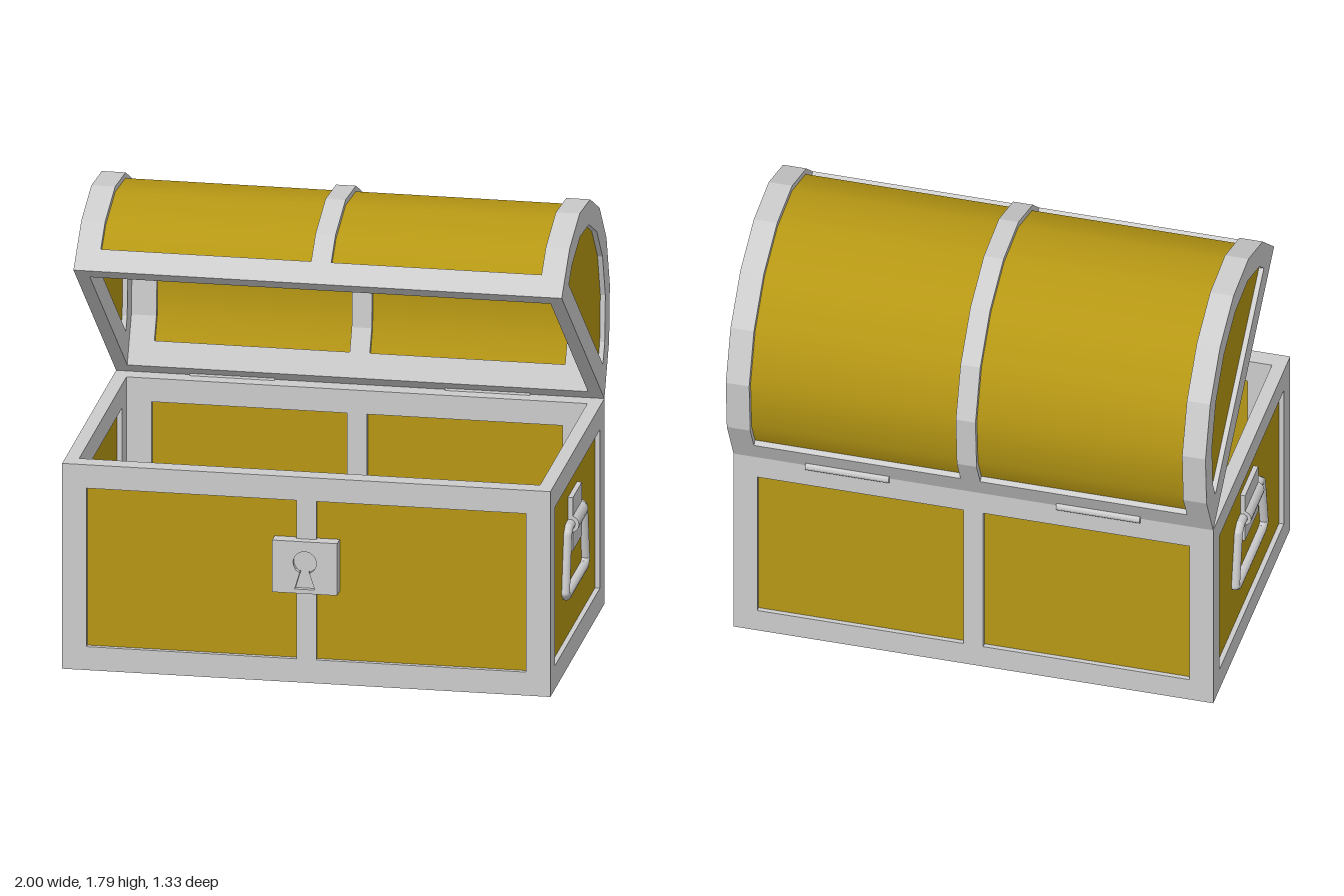
import * as THREE from 'three';

const metal = new THREE.MeshStandardMaterial({ color: 0xcccccc, flatShading: true });
const wood = new THREE.MeshStandardMaterial({ color: 0xb69714 });
const woodInside = new THREE.MeshStandardMaterial({ color: 0xb69714, side: THREE.BackSide });

const W = 1.95, H = 0.85, D = 1.175, ZC = 0.0425; // chest body
const R = D / 2;                                  // lid radius
const RECESS = 0.02, RAIL = 0.097, POST = 0.04;

function add(parent, name, geometry, material, x = 0, y = 0, z = 0) {
  const mesh = new THREE.Mesh(geometry, material);
  mesh.name = name;
  mesh.position.set(x, y, z);
  parent.add(mesh);
  return mesh;
}

const polygon = (pts) => pts.map(([x, y]) => new THREE.Vector2(x, y));
const rect = (x0, x1, y0, y1) => polygon([[x0, y0], [x1, y0], [x1, y1], [x0, y1]]);

function slab(outline, holes, depth) {
  const shape = new THREE.Shape(outline);
  holes.forEach((h) => shape.holes.push(new THREE.Path(h)));
  return new THREE.ExtrudeGeometry(shape, { depth, bevelEnabled: false });
}

// Rectangular wall facing +z: frames on both faces with a recessed panel between
function wall(name, w, h, t, split, inX, inBottom, inTop) {
  const g = new THREE.Group();
  g.name = name;
  const outline = rect(-w / 2, w / 2, -h / 2, h / 2);
  const openings = (mx, mb, mt) => {
    const x = w / 2 - mx, y0 = -h / 2 + mb, y1 = h / 2 - mt;
    return split ? [rect(-x, -POST, y0, y1), rect(POST, x, y0, y1)] : [rect(-x, x, y0, y1)];
  };
  add(g, 'outerFrame', slab(outline, openings(RAIL, RAIL, RAIL), t - RECESS), metal, 0, 0, -t / 2 + RECESS);
  add(g, 'innerFrame', slab(outline, openings(inX, inBottom, inTop), RECESS), metal, 0, 0, -t / 2);
  add(g, 'panel', new THREE.BoxGeometry(w - 0.06, h - 0.06, t - 2 * RECESS), wood);
  return g;
}

function buildBody() {
  const body = new THREE.Group();
  body.name = 'chestBody';
  for (const s of [1, -1]) {
    const long = wall(s > 0 ? 'frontWall' : 'backWall', W, H, 0.073, true, 0.155, 0.16, RAIL);
    long.position.set(0, H / 2, ZC + s * (D / 2 - 0.0365));
    long.rotation.y = s > 0 ? 0 : Math.PI;
    const end = wall(s > 0 ? 'leftWall' : 'rightWall', D, H, 0.055, false, 0.17, 0.16, RAIL);
    end.position.set(s * (W / 2 - 0.0275), H / 2, ZC);
    end.rotation.y = s * Math.PI / 2;
    body.add(long, end);
  }
  const floor = wall('floor', W, D, 0.06, true, 0.155, 0.17, 0.17);
  floor.position.set(0, 0.03, ZC);
  floor.rotation.x = Math.PI / 2;
  body.add(floor);
  return body;
}

// Eight-sided half circle, its feet cut off level at the given height
function arc(r, cut = 0) {
  const pts = [];
  for (let i = 0; i <= 8; i++) pts.push([r * Math.cos(i * Math.PI / 8), r * Math.sin(i * Math.PI / 8)]);
  const foot = pts[0][0] + (pts[1][0] - pts[0][0]) * cut / pts[1][1];
  pts[0] = [foot, cut];
  pts[8] = [-foot, cut];
  return pts;
}
const arch = (outer, inner) => polygon([...arc(outer), ...arc(inner).reverse()]);

// Profile in the z-y plane, extruded from x0 to x1
function acrossX(outline, holes, x0, x1) {
  return slab(outline, holes, x1 - x0).rotateY(-Math.PI / 2).translate(x1, 0, 0);
}

function buildLid() {
  const lid = new THREE.Group(), dome = new THREE.Group();
  lid.name = 'lid';
  dome.name = 'lidDome';
  dome.position.z = R;
  lid.add(dome);

  // Curved boards, outside and inside
  const shell = (r) => new THREE.CylinderGeometry(r, r, 1.84, 8, 1, true, 0, Math.PI).rotateZ(Math.PI / 2);
  add(dome, 'domePanel', shell(0.565), wood);
  add(dome, 'domePanelInside', shell(0.535), woodInside);

  // Hoops over the dome
  add(dome, 'middleHoop', acrossX(arch(R, 0.515), [], -POST, POST), metal);
  for (const s of [1, -1]) {
    const span = (a, b) => (s > 0 ? [a, b] : [-b, -a]);
    add(dome, 'endHoop', acrossX(arch(R, 0.53), [], ...span(0.88, 0.975)), metal);
    add(dome, 'endHoopInside', acrossX(arch(0.55, 0.515), [], ...span(0.82, 0.96)), metal);
    // Half-round end caps
    add(dome, 'endFrame', acrossX(polygon(arc(R)), [polygon(arc(0.488, 0.1))], ...span(0.94, 0.975)), metal);
    add(dome, 'endFrameInside', acrossX(polygon(arc(0.57)), [polygon(arc(0.42, 0.1))], ...span(0.92, 0.94)), metal);
    add(dome, 'endPanel', acrossX(polygon(arc(0.5, 0.08)), [], ...span(0.94, 0.955)), wood);
    // Rim rails along the front and back
    const o = arc(R, 0.1)[0][0], i = arc(0.515, 0.1)[0][0];
    const rail = polygon([[s * R, 0], [s * o, 0.1], [s * i, 0.1], [s * 0.515, 0]]);
    add(dome, s > 0 ? 'frontRim' : 'backRim', acrossX(rail, [], -W / 2, W / 2), metal);
  }
  // Opened about the back edge
  lid.position.set(0, H, ZC - D / 2);
  lid.rotation.x = -0.659;
  return lid;
}

function buildLock() {
  const lock = new THREE.Group();
  lock.name = 'lock';
  const hole = [[0.04, -0.09], [0.018, -0.015]];
  for (let i = 0; i <= 12; i++) {
    const a = -1.17 + i * (Math.PI + 2.34) / 12;
    hole.push([0.047 * Math.cos(a), 0.02 + 0.047 * Math.sin(a)]);
  }
  hole.push([-0.018, -0.015], [-0.04, -0.09]);
  add(lock, 'lockPlate', slab(rect(-0.13, 0.13, -0.1075, 0.1075), [polygon(hole)], 0.055), metal, 0, 0, -0.02);
  add(lock, 'keyholeBack', new THREE.BoxGeometry(0.2, 0.2, 0.03), metal);
  lock.position.set(0, 0.4875, ZC + D / 2);
  return lock;
}

// Trapezoid ring of round bar hanging from a barrel on a plate
function buildHandle(side) {
  const handle = new THREE.Group();
  handle.name = side > 0 ? 'leftHandle' : 'rightHandle';
  const smooth = new THREE.MeshStandardMaterial({ color: 0xcccccc });
  const half = [[0.19, 0.29], [0.218, 0.31], [0.175, 0.535], [0.148, 0.555]];
  const pts = [...half, ...half.map(([z, y]) => [-z, y]).reverse()]
    .map(([z, y]) => new THREE.Vector3(0, y, z));
  pts.forEach((a, i) => {
    const b = pts[(i + 1) % pts.length], dir = b.clone().sub(a);
    const bar = add(handle, 'handleBar', new THREE.CylinderGeometry(0.02, 0.02, dir.length(), 12, 1, true), smooth);
    bar.position.copy(a).add(b).multiplyScalar(0.5);
    bar.quaternion.setFromUnitVectors(new THREE.Vector3(0, 1, 0), dir.normalize());
    add(handle, 'handleJoint', new THREE.SphereGeometry(0.02, 12, 8), smooth, a.x, a.y, a.z);
  });
  add(handle, 'handlePlate', new THREE.BoxGeometry(0.03, 0.22, 0.2), metal, -side * 0.005, 0.555, 0);
  const barrel = new THREE.CylinderGeometry(0.035, 0.035, 0.2, 16).rotateX(Math.PI / 2);
  add(handle, 'handleBarrel', barrel, smooth, 0, 0.555, 0);
  handle.position.set(side * 0.965, 0, ZC);
  return handle;
}

export function createModel() {
  const model = new THREE.Group();
  model.name = 'treasureChest';
  model.add(buildBody(), buildLid(), buildLock(), buildHandle(1), buildHandle(-1));
  // Hinge pins
  for (const s of [1, -1]) {
    const pin = new THREE.CylinderGeometry(0.017, 0.017, 0.34, 12).rotateZ(Math.PI / 2);
    add(model, 'hinge', pin, metal, s * 0.51, H, ZC - D / 2 - 0.003);
  }
  return model;
}
